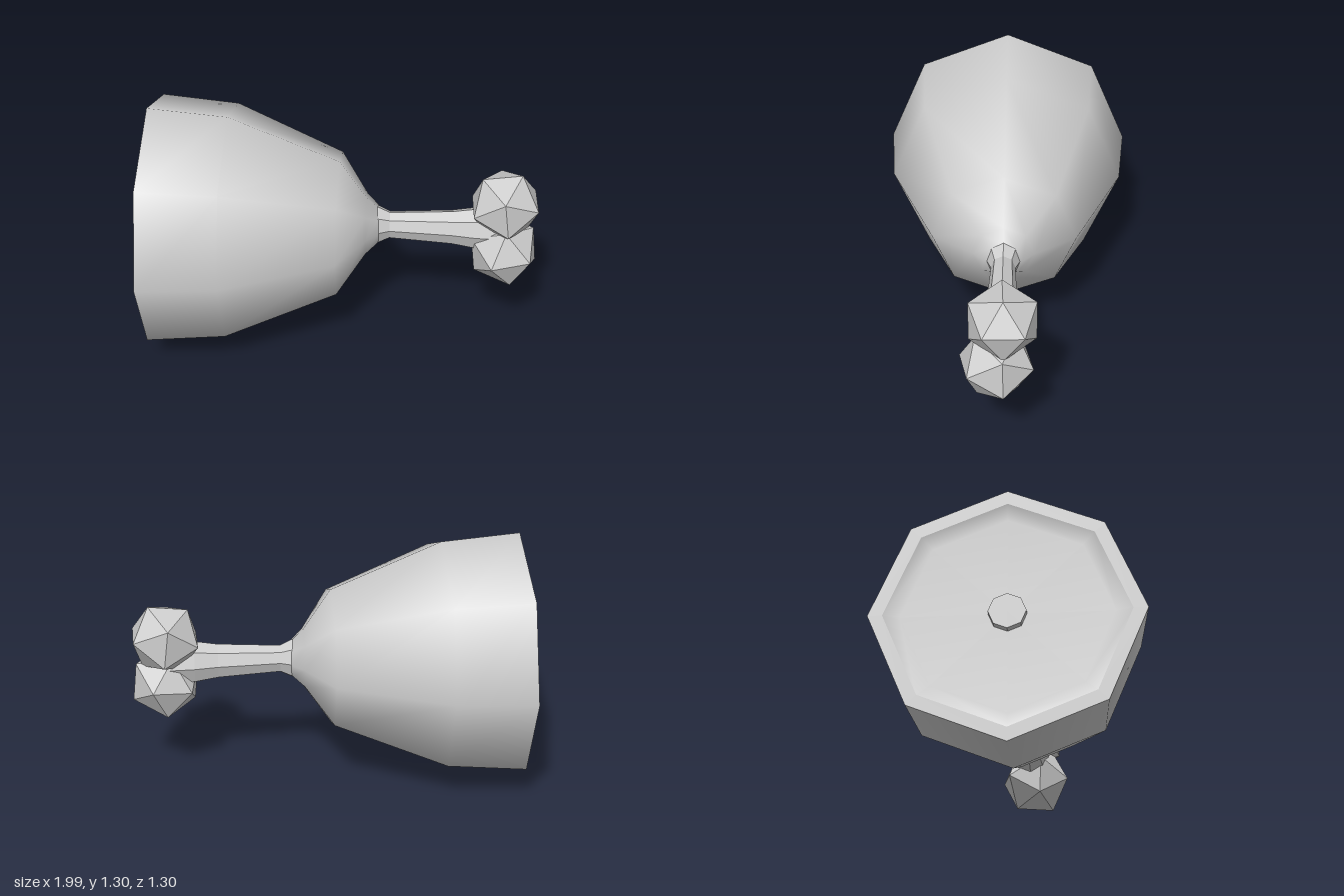
import * as THREE from 'three';

const CY = 0.65; // height of the long axis

// Eight-sided turned part along x; profile points are [x, radius], back to front
function turned(name, profile, flat) {
  const geo = new THREE.LatheGeometry(profile.map(([x, r]) => new THREE.Vector2(r, x)), 8);
  geo.rotateZ(-Math.PI / 2);
  const mesh = new THREE.Mesh(geo, new THREE.MeshStandardMaterial({
    color: 0xcccccc, flatShading: flat, side: THREE.DoubleSide,
  }));
  mesh.name = name;
  mesh.position.y = CY;
  return mesh;
}

// Orthonormal frame with its first axis on n and its second near b
function frame(n, b) {
  const x = n.clone().normalize();
  const y = b.clone().addScaledVector(x, -b.dot(x)).normalize();
  return new THREE.Matrix4().makeBasis(x, y, x.clone().cross(y));
}

// Icosahedron knob turned so its local axes (n, b) meet the wanted directions
function knob(name, center, localN, localB, n, b) {
  const geo = new THREE.IcosahedronGeometry(0.192, 0);
  geo.applyMatrix4(frame(n, b).multiply(frame(localN, localB).invert()));
  const mesh = new THREE.Mesh(geo, new THREE.MeshStandardMaterial({ color: 0xcccccc, flatShading: true }));
  mesh.name = name;
  mesh.position.copy(center);
  return mesh;
}

export function createModel() {
  const V = (x, y, z) => new THREE.Vector3(x, y, z);
  const t = (1 + Math.sqrt(5)) / 2;
  const group = new THREE.Group();
  group.name = 'meatOnBone';

  // Meat: smooth tapering shell and a slightly dished cut face
  group.add(turned('meat', [[-0.98, 0.65], [-0.58, 0.615], [-0.02, 0.375], [0.12, 0.16], [0.18, 0.1], [0.2, 0.05]], false));
  group.add(turned('cutFaceRim', [[-0.98, 0.58], [-0.98, 0.65]], false));
  group.add(turned('cutFace', [[-0.955, 0], [-0.955, 0.5], [-0.98, 0.58]], false));

  // Bone: shaft at the narrow end, stub in the cut face
  const shaft = turned('boneShaft', [[0.14, 0.115], [0.18, 0.105], [0.24, 0.075], [0.56, 0.095], [0.68, 0.115], [0.82, 0.12], [0.82, 0]], true);
  shaft.scale.z = 0.83;
  group.add(shaft);
  group.add(turned('boneStub', [[-0.99, 0], [-0.99, 0.09], [-0.94, 0.09]], true));

  // Knobs at the end of the bone: one face-on, one point-on
  group.add(knob('upperKnob', V(0.825, 0.795, -0.01), V(0, 2 * t + 1, t), V(0, 1, t), V(0.97, -0.24, -0.04), V(0, -1, 0)));
  group.add(knob('lowerKnob', V(0.83, 0.538, 0.02), V(1, t, 0), V(-1, t, 0), V(0.88, -0.43, -0.19), V(0, 1, 0)));
  return group;
}
